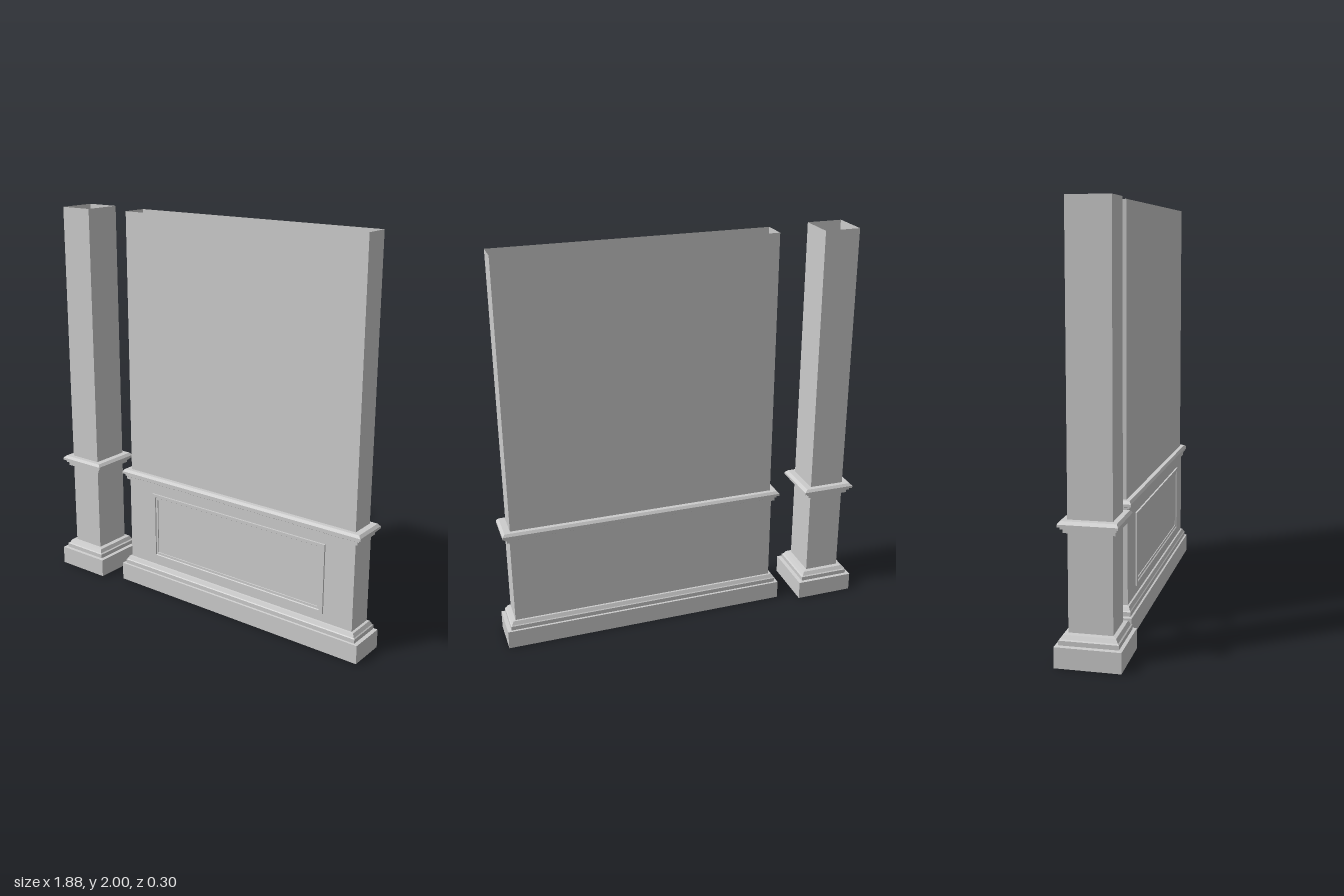
import * as THREE from 'three';

const material = new THREE.MeshStandardMaterial({ color: 0xcccccc, flatShading: true, side: THREE.DoubleSide });

// Rectangular loft: each section is [height, half width, half depth]
function rectLoft(name, sections) {
  const corners = [[1, 1], [1, -1], [-1, -1], [-1, 1]];
  const point = ([y, w, d], k) => [corners[k % 4][0] * w, y, corners[k % 4][1] * d];
  const positions = [];
  for (let i = 0; i < sections.length - 1; i++) {
    for (let k = 0; k < 4; k++) {
      const a = point(sections[i], k), b = point(sections[i], k + 1);
      const c = point(sections[i + 1], k + 1), d = point(sections[i + 1], k);
      positions.push(...a, ...b, ...c, ...a, ...c, ...d);
    }
  }
  const geometry = new THREE.BufferGeometry();
  geometry.setAttribute('position', new THREE.Float32BufferAttribute(positions, 3));
  geometry.computeVertexNormals();
  const mesh = new THREE.Mesh(geometry, material);
  mesh.name = name;
  return mesh;
}

// Hollow shaft with stepped base and rail; w, d are the shaft half sizes,
// steps are the [x, z] outsets of the trim from the shaft
function trimmedShaft(name, w, d, lower, base, rail, hole) {
  const out = (y, [x, z]) => [y, w + x, d + z];
  const group = new THREE.Group();
  group.name = name;
  group.add(
    rectLoft('shaft', [
      [0.09, w + lower, d + lower], [0.62, w + lower, d + lower], [0.62, w, d], [2, w, d],
    ]),
    // Plinth with an open underside and an inner ledge
    rectLoft('plinth', [
      [0.09, ...hole], [0.09, w + 0.012, d + 0.01], [0, w + 0.012, d + 0.01],
      out(0, base[0]), out(0.095, base[0]),
      out(0.097, base[1]), out(0.118, base[1]),
      out(0.122, base[2]), out(0.14, base[3]), [0.143, w, d],
    ]),
    rectLoft('chairRail', [
      [0.588, w, d], out(0.59, rail[0]), out(0.605, rail[0]),
      out(0.608, rail[1]), out(0.616, rail[1]),
      out(0.62, rail[2]), out(0.632, rail[2]),
      out(0.645, rail[1]), [0.645, w, d],
    ]),
  );
  return group;
}

export function createModel() {
  const model = new THREE.Group();

  const pillar = trimmedShaft('pillar', 0.09, 0.1, 0,
    [[0.06, 0.05], [0.04, 0.034], [0.032, 0.028], [0.022, 0.018]],
    [[0.02, 0.016], [0.032, 0.024], [0.046, 0.034]], [0.058, 0.083]);
  pillar.position.x = -0.79;

  const wall = trimmedShaft('wall', 0.683, 0.065, 0.006,
    [[0.052, 0.035], [0.033, 0.026], [0.028, 0.022], [0.018, 0.014]],
    [[0.021, 0.016], [0.03, 0.021], [0.042, 0.03]], [0.665, 0.055]);
  wall.position.x = 0.203;

  // Raised picture-frame moulding on the front of the wall
  const frame = rectLoft('panelFrame', [
    [0.06, 0.53, 0.18], [0.08, 0.53, 0.18], [0.08, 0.51, 0.165],
    [0.075, 0.508, 0.162], [0.075, 0.497, 0.15], [0.06, 0.493, 0.147],
  ]);
  frame.rotation.x = Math.PI / 2;
  frame.position.y = 0.365;
  wall.add(frame);

  model.add(pillar, wall);
  return model;
}
